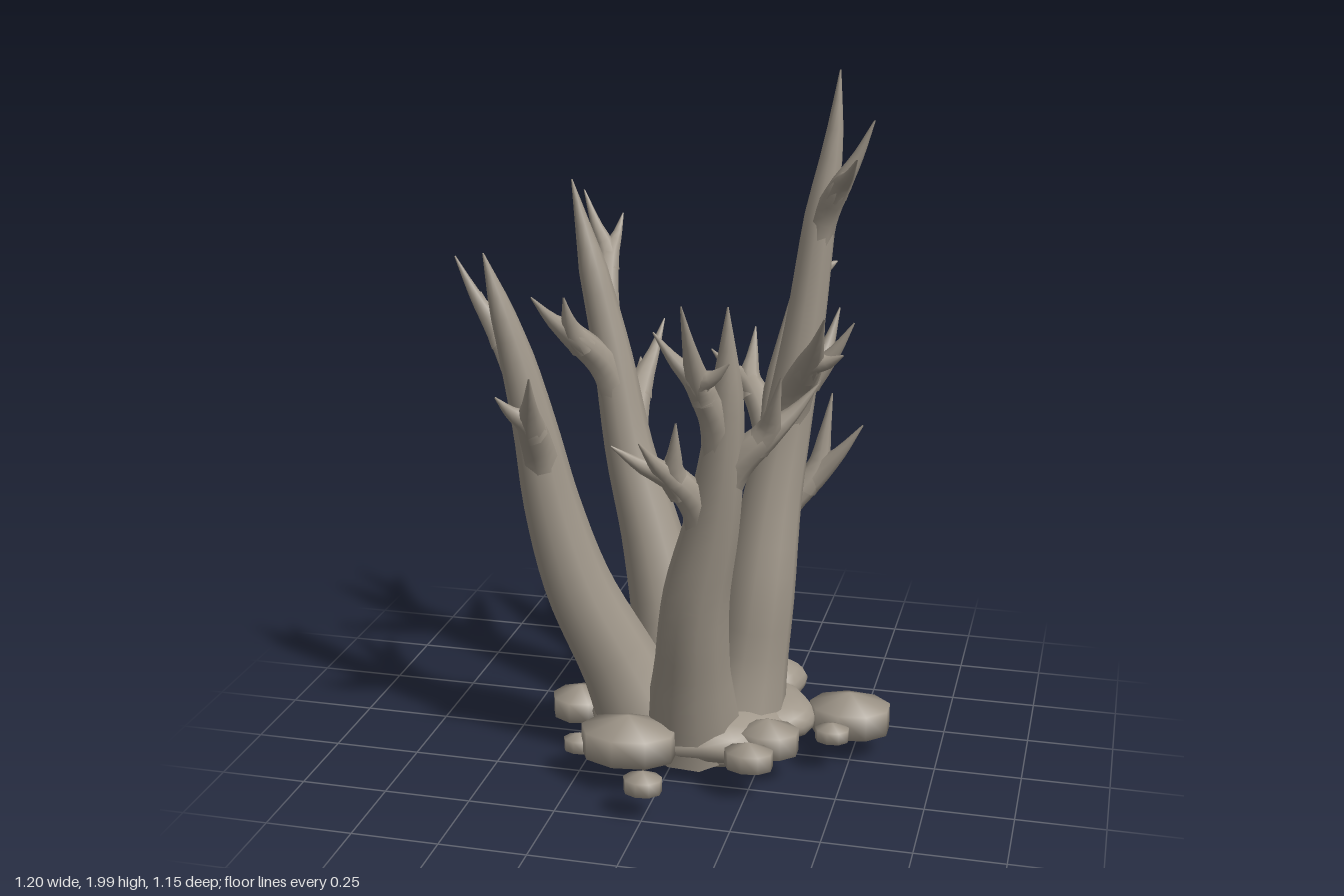
import * as THREE from 'three';
import { mergeVertices } from 'three/addons/utils/BufferGeometryUtils.js';

const stone = new THREE.MeshStandardMaterial({ color: 0xa0978a });
stone.name = 'warm grey coral';

// Weld seams so that the normals run smoothly round the surface
function smooth(geometry) {
  geometry.deleteAttribute('uv');
  geometry.deleteAttribute('normal');
  const welded = mergeVertices(geometry, 1e-5);
  welded.computeVertexNormals();
  return welded;
}

function add(parent, name, geometry) {
  const mesh = new THREE.Mesh(geometry, stone);
  mesh.name = name;
  parent.add(mesh);
  return mesh;
}

const mix = (a, b, t) => a.map((value, i) => value + (b[i] - value) * t);

// Tapered limb through points of [x, y, z, radius]
function limb(points, segments, sides) {
  const curve = new THREE.CatmullRomCurve3(points.map(p => new THREE.Vector3(p[0], p[1], p[2])), false, 'centripetal');
  const geometry = new THREE.TubeGeometry(curve, segments, 1, sides);
  const pos = geometry.attributes.position;
  const v = new THREE.Vector3();
  for (let i = 0; i <= segments; i++) {
    const centre = curve.getPointAt(i / segments);
    const f = curve.getUtoTmapping(i / segments) * (points.length - 1);
    const k = Math.min(Math.floor(f), points.length - 2);
    const radius = THREE.MathUtils.lerp(points[k][3], points[k + 1][3], f - k);
    for (let j = 0; j <= sides; j++) {
      const n = i * (sides + 1) + j;
      v.fromBufferAttribute(pos, n).sub(centre).multiplyScalar(radius).add(centre);
      pos.setXYZ(n, v.x, v.y, v.z);
    }
  }
  return smooth(geometry);
}

// Point and radius of a stalk at a given height
function atHeight(path, y) {
  let k = 0;
  while (k < path.length - 2 && path[k + 1][1] < y) k++;
  return mix(path[k], path[k + 1], (y - path[k][1]) / (path[k + 1][1] - path[k][1]));
}

// Stalk with side branches; each branch is [root height, elbow, ...tips]
function stalk(parent, name, path, branches) {
  const group = new THREE.Group();
  group.name = name;
  parent.add(group);
  add(group, 'stalk', limb(path, 24, 10));
  for (const [height, elbow, ...tips] of branches) {
    // The branch leaves the stalk gradually, from inside it
    const base = atHeight(path, height - 0.1);
    const root = atHeight(path, height);
    base[3] *= 0.75;
    root[3] = Math.min(root[3] * 0.85, 0.055);
    const joint = [...elbow, Math.min(root[3] * 0.75, 0.038)];
    tips.forEach((tip, i) => {
      const end = [...tip, 0.002];
      const middle = mix(joint, end, 0.5);
      middle[1] -= 0.01;
      if (i === 0) add(group, 'branch', limb([base, mix(root, joint, 0.3), joint, middle, end], 14, 8));
      else add(group, 'twig', limb([mix(joint, root, 0.25), mix(joint, middle, 0.2), middle, end], 9, 8));
    });
  }
}

// Lumpy rounded mass
function lump(parent, name, x, y, z, rx, ry, rz) {
  const geometry = smooth(new THREE.IcosahedronGeometry(1, 3));
  const pos = geometry.attributes.position;
  for (let i = 0; i < pos.count; i++) {
    const s = 1 + 0.07 * Math.sin(pos.getX(i) * 5 + x * 40) * Math.cos(pos.getZ(i) * 4 + z * 30);
    pos.setXYZ(i, pos.getX(i) * s * rx, pos.getY(i) * s * ry, pos.getZ(i) * s * rz);
  }
  geometry.computeVertexNormals();
  add(parent, name, geometry).position.set(x, y, z);
}

// Angular rock with two rings and blunt poles
function rock(parent, x, y, z, rx, ry, rz) {
  const geometry = new THREE.SphereGeometry(1, 9, 3);
  geometry.scale(rx / 0.866, ry, rz / 0.866);
  add(parent, 'rock', smooth(geometry)).position.set(x, y, z);
}

export function createModel() {
  const model = new THREE.Group();
  model.name = 'coral cluster';

  stalk(model, 'tallStalk', [
    [0.17, 0.1, 0.02, 0.14], [0.2, 0.3, 0, 0.112], [0.225, 0.52, -0.01, 0.104], [0.25, 0.78, -0.05, 0.086],
    [0.285, 1, -0.08, 0.07], [0.33, 1.3, -0.092, 0.056], [0.365, 1.6, -0.1, 0.045], [0.395, 1.8, -0.11, 0.028],
    [0.41, 2, -0.11, 0.002],
  ], [
    [1.56, [0.43, 1.7, -0.04], [0.52, 1.88, -0.02], [0.49, 1.79, 0.08]],
    [1.06, [0.37, 1.22, 0.05], [0.43, 1.38, 0.19], [0.47, 1.26, 0.1]],
    [1.28, [0.33, 1.43, -0.22], [0.31, 1.54, -0.35], [0.39, 1.6, -0.28], [0.39, 1.44, -0.26]],
  ]);

  stalk(model, 'leftBackStalk', [
    [-0.03, 0.1, -0.09, 0.15], [-0.07, 0.35, -0.12, 0.115], [-0.135, 0.62, -0.145, 0.09], [-0.2, 0.85, -0.16, 0.073],
    [-0.255, 1.15, -0.17, 0.057], [-0.31, 1.4, -0.17, 0.042], [-0.37, 1.66, -0.17, 0.002],
  ], [
    [0.88, [-0.2, 1.03, -0.29], [-0.16, 1.2, -0.42], [-0.23, 1.08, -0.4]],
    [1.25, [-0.29, 1.42, -0.27], [-0.27, 1.53, -0.36], [-0.38, 1.6, -0.33]],
    [1.08, [-0.34, 1.23, -0.05], [-0.43, 1.36, 0.05], [-0.34, 1.36, 0.03]],
  ]);

  stalk(model, 'rightSideStalk', [
    [-0.09, 0.12, 0.08, 0.145], [-0.165, 0.3, 0.11, 0.115], [-0.27, 0.55, 0.16, 0.097], [-0.335, 0.8, 0.19, 0.08],
    [-0.37, 1.02, 0.215, 0.063], [-0.41, 1.22, 0.235, 0.049], [-0.45, 1.38, 0.255, 0.032], [-0.49, 1.53, 0.27, 0.002],
  ], [
    [0.78, [-0.43, 0.92, 0.08], [-0.53, 1.09, -0.02], [-0.45, 1.01, -0.06]],
    [1.14, [-0.49, 1.29, 0.17], [-0.6, 1.5, 0.19], [-0.56, 1.38, 0.1]],
    [0.92, [-0.35, 1.08, 0.33], [-0.31, 1.24, 0.45], [-0.42, 1.17, 0.41]],
  ]);

  stalk(model, 'frontStalk', [
    [0.06, 0.1, 0.12, 0.15], [0.078, 0.35, 0.215, 0.11], [0.105, 0.6, 0.285, 0.094], [0.155, 0.82, 0.325, 0.077],
    [0.19, 1.02, 0.36, 0.061], [0.21, 1.22, 0.39, 0.045], [0.22, 1.46, 0.43, 0.002],
  ], [
    [1.08, [0.15, 1.26, 0.46], [0.13, 1.49, 0.57], [0.04, 1.4, 0.5], [0.24, 1.33, 0.5]],
    [0.82, [0.07, 0.98, 0.41], [-0.08, 1.08, 0.48], [0, 1.1, 0.5], [0.09, 1.15, 0.46]],
    [0.96, [0.31, 1.1, 0.35], [0.44, 1.24, 0.32], [0.36, 1.28, 0.43]],
  ]);

  stalk(model, 'backStalk', [
    [0.12, 0.1, -0.14, 0.15], [0.155, 0.32, -0.19, 0.108], [0.18, 0.6, -0.29, 0.078], [0.195, 0.82, -0.37, 0.062],
    [0.2, 1.02, -0.43, 0.05], [0.22, 1.3, -0.51, 0.002],
  ], [
    [0.84, [0.09, 1, -0.48], [-0.04, 1.08, -0.54], [0.09, 1.15, -0.58]],
    [0.9, [0.31, 1.06, -0.44], [0.42, 1.22, -0.42], [0.36, 1.24, -0.52]],
    [0.6, [0.33, 0.77, -0.33], [0.47, 0.94, -0.31], [0.37, 1.02, -0.35]],
  ]);

  // Rocky mound that joins the stalks
  lump(model, 'mound', 0.04, 0.12, 0, 0.31, 0.1, 0.29);
  lump(model, 'moundBack', 0.13, 0.13, -0.24, 0.2, 0.085, 0.14);
  lump(model, 'moundLeftBack', -0.14, 0.13, -0.17, 0.17, 0.08, 0.12);
  lump(model, 'moundRight', 0.25, 0.12, -0.03, 0.14, 0.07, 0.15);
  lump(model, 'moundFoot', 0.06, 0.075, 0.02, 0.23, 0.065, 0.22);

  // Loose rocks round the foot
  rock(model, 0.49, 0.12, -0.06, 0.12, 0.075, 0.095);
  rock(model, 0.29, 0.13, 0.17, 0.09, 0.065, 0.07);
  rock(model, -0.09, 0.14, 0.29, 0.14, 0.08, 0.1);
  rock(model, 0.26, 0.13, 0.3, 0.07, 0.05, 0.05);
  rock(model, -0.31, 0.11, 0.02, 0.085, 0.06, 0.08);
  rock(model, 0, 0.11, 0.48, 0.055, 0.04, 0.045);
  rock(model, 0.46, 0.125, 0.08, 0.05, 0.035, 0.04);
  rock(model, -0.24, 0.11, 0.28, 0.045, 0.035, 0.035);
  rock(model, -0.36, 0.11, -0.27, 0.035, 0.025, 0.025);
  return model;
}
